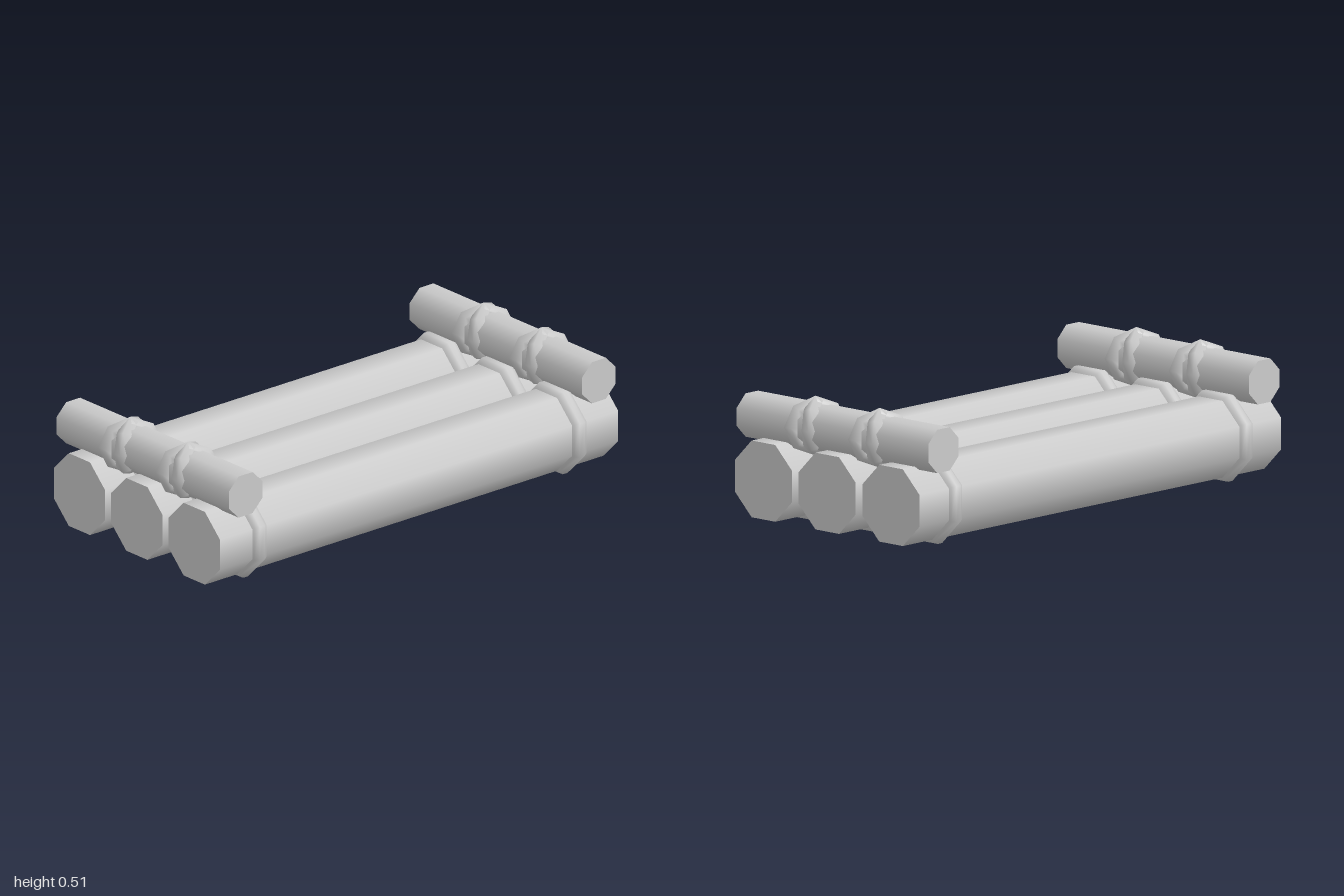
import * as THREE from 'three';

const SIDES = 8;
const TURN = Math.PI / SIDES; // puts flats on top, bottom and sides

export function createModel() {
  const group = new THREE.Group();
  const material = new THREE.MeshStandardMaterial({ color: 0xcccccc });

  const add = (name, geometry, x, y, z) => {
    const mesh = new THREE.Mesh(geometry, material);
    mesh.name = name;
    mesh.position.set(x, y, z);
    group.add(mesh);
    return mesh;
  };

  // Three thick logs lying along x
  const logGeo = new THREE.CylinderGeometry(0.161, 0.161, 2, SIDES, 1, false, TURN).rotateZ(Math.PI / 2);

  // Rounded rope band around each log end
  const bandProfile = [
    [0.15, -0.04], [0.17, -0.03], [0.181, -0.012], [0.181, 0.012], [0.17, 0.03], [0.15, 0.04],
  ].map(([r, y]) => new THREE.Vector2(r, y));
  const bandGeo = new THREE.LatheGeometry(bandProfile, SIDES, TURN).rotateZ(Math.PI / 2);

  for (const z of [-0.333, 0, 0.333]) {
    add('log', logGeo, 0, 0.17, z);
    for (const side of [-1, 1]) add('logBand', bandGeo, side * 0.803, 0.17, z);
  }

  // Cross poles on top, with crossed rope lashings above the gaps between logs
  const poleGeo = new THREE.CylinderGeometry(0.091, 0.091, 1, SIDES, 1, false, TURN).rotateX(Math.PI / 2);
  const ropeGeo = new THREE.TorusGeometry(0.082, 0.034, 6, SIDES).scale(1.08, 1, 1);

  for (const side of [-1, 1]) {
    const x = side * 0.887;
    add('crossPole', poleGeo, x, 0.391, 0);
    for (const z of [-0.167, 0.167]) {
      for (const tilt of [-1, 1]) {
        add('ropeLashing', ropeGeo, x, 0.392, z).rotation.y = tilt * Math.PI / 6;
      }
    }
  }

  return group;
}
